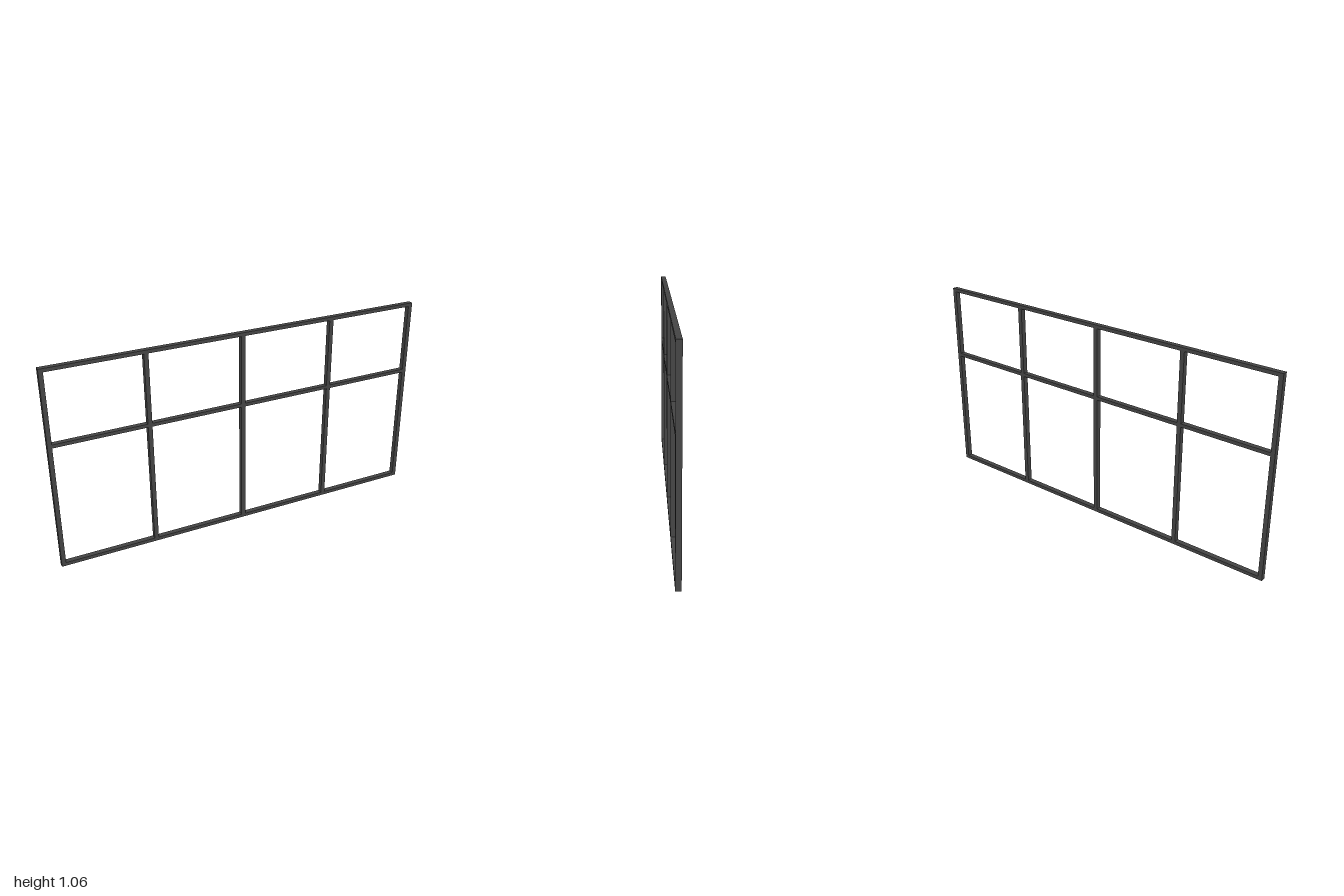
import * as THREE from 'three';

export function createModel() {
  const group = new THREE.Group();
  const material = new THREE.MeshStandardMaterial({ color: 0x444444 });
  const height = 1.058, bar = 0.022, rail = 0.018, depth = 0.027;

  const addBar = (name, w, h, x, y) => {
    const mesh = new THREE.Mesh(new THREE.BoxGeometry(w, h, depth), material);
    mesh.name = name;
    mesh.position.set(x, y, 0);
    group.add(mesh);
  };

  // Outer posts run the full height
  const postX = 1 - bar / 2;
  addBar('rightPost', bar, height, -postX, height / 2);
  addBar('leftPost', bar, height, postX, height / 2);

  // Top and bottom rails fit between the posts
  const inner = 2 - 2 * bar;
  addBar('bottomRail', inner, rail, 0, rail / 2);
  addBar('topRail', inner, rail, 0, height - rail / 2);

  // Mullions stand between the two rails
  const mullions = [-0.5, 0, 0.5];
  for (const x of mullions) addBar('mullion', bar, height - 2 * rail, x, height / 2);

  // Transom pieces fill each bay between neighbouring uprights
  const uprights = [-postX, ...mullions, postX];
  for (let i = 0; i < uprights.length - 1; i++) {
    const a = uprights[i] + bar / 2, b = uprights[i + 1] - bar / 2;
    addBar('transom', b - a, rail, (a + b) / 2, 0.67);
  }
  return group;
}
